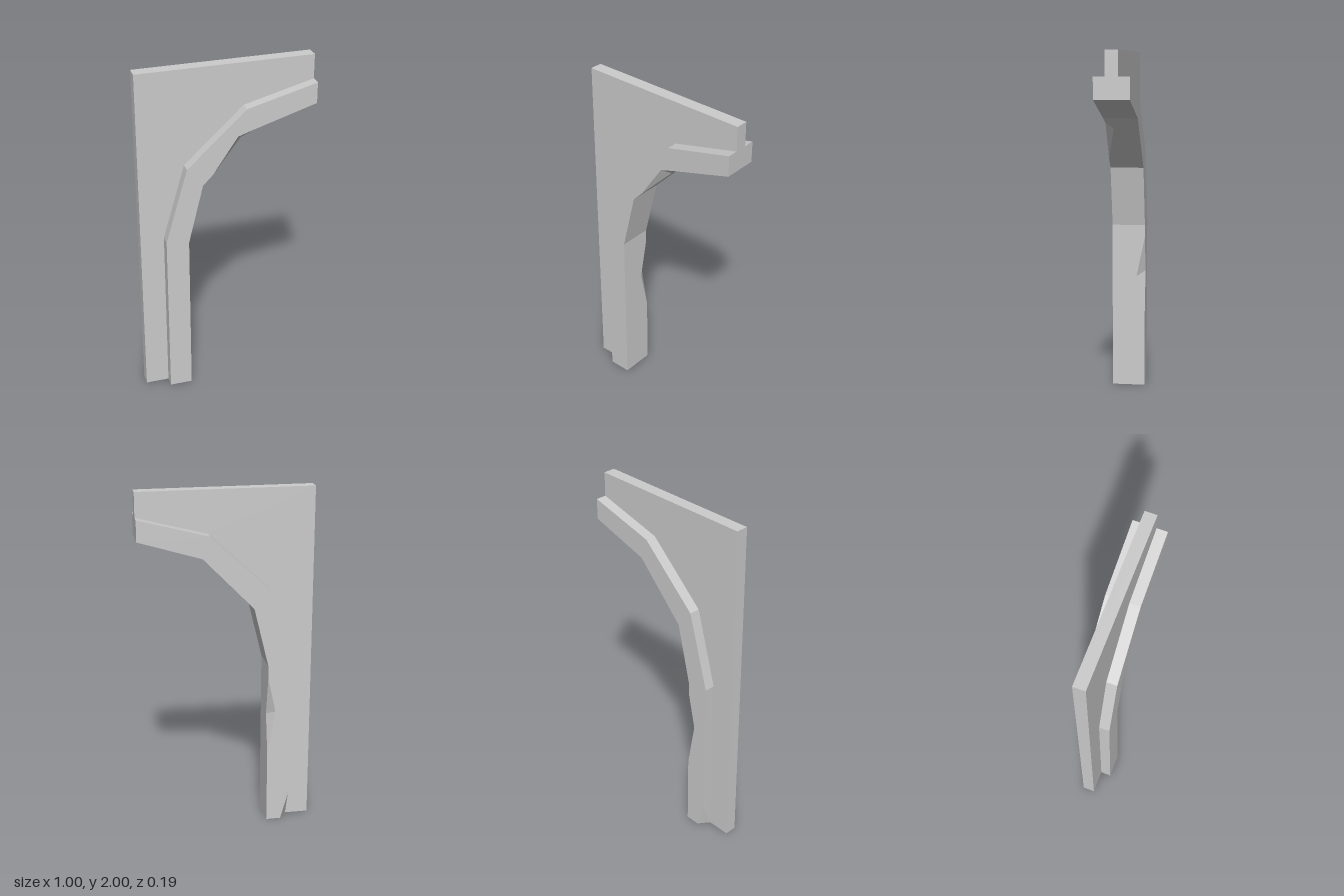
import * as THREE from 'three';

const material = new THREE.MeshStandardMaterial({ color: 0xcccccc, flatShading: true });
const H = 0.097; // half depth of the arch rib
const P = 0.035; // half depth of the web panel

// Arch curve from the foot upwards: outer and inner edge of the rib
const OUTER = [[-0.365, 0], [-0.365, 1], [-0.24, 1.44], [0.1, 1.755], [0.5, 1.86]];
const INNER = [[-0.235, 0], [-0.235, 0.98], [-0.15, 1.33], [0.14, 1.63], [0.5, 1.74]];

// Triangulates a flat polygon so that it faces the direction "out"
function face(target, points, out) {
  let pts = points.map((p) => new THREE.Vector3(...p));
  const normal = new THREE.Vector3();
  pts.forEach((p, i) => normal.add(p.clone().cross(pts[(i + 1) % pts.length])));
  if (normal.dot(new THREE.Vector3(...out)) < 0) {
    pts.reverse();
    normal.negate();
  }
  normal.normalize();
  const u = pts[1].clone().sub(pts[0]).normalize();
  const v = normal.clone().cross(u);
  const flat = pts.map((p) => new THREE.Vector2(p.dot(u), p.dot(v)));
  for (const [a, b, c] of THREE.ShapeUtils.triangulateShape(flat, [])) {
    const turn = flat[b].clone().sub(flat[a]).cross(flat[c].clone().sub(flat[a]));
    for (const i of turn < 0 ? [a, c, b] : [a, b, c]) target.push(pts[i].x, pts[i].y, pts[i].z);
  }
}

function buildRib() {
  const tris = [];
  const at = (list, z) => list.map(([x, y]) => [x, y, z]);
  const of = at(OUTER, H), ob = at(OUTER, -H);
  const inf = at(INNER, H), inb = at(INNER, -H);

  // Chip on the front edge of the diagonal
  const frontLow = [-0.092, 1.39, H], frontTip = [0.05, 1.6, H], underTip = [0.082, 1.57, 0.045];
  // Chip on the back edge of the post
  const backLow = [-0.235, 0.43, -H], backHigh = [-0.235, 0.91, -H];
  const backTip = [-0.28, 0.7, -H], sideTip = [-0.235, 0.67, -0.047];
  // Chip at the foot, on the back outer corner
  const footTop = [-0.365, 0.16, -H], footBack = [-0.32, 0, -H], footSide = [-0.365, 0, -P];

  // Front and back faces
  face(tris, [...inf.slice(0, 3), frontLow, frontTip, ...inf.slice(3), ...of.slice().reverse()], [0, 0, 1]);
  face(tris, [inb[0], backLow, backTip, backHigh, ...inb.slice(1),
    ...ob.slice(1).reverse(), footTop, footBack], [0, 0, -1]);

  // Inner and outer faces along the curve
  for (let i = 0; i < 4; i++) {
    const inner = [inf[i], inb[i]];
    if (i === 0) inner.push(backLow, sideTip, backHigh);
    inner.push(inb[i + 1], inf[i + 1]);
    if (i === 2) inner.push(underTip, frontLow);
    face(tris, inner, [1, -0.5, 0]);
    const outer = i === 0 ? [of[0], footSide, footTop] : [of[i], ob[i]];
    face(tris, [...outer, ob[i + 1], of[i + 1]], [-1, 0.5, 0]);
  }

  // Foot and upper end
  face(tris, [inf[0], inb[0], footBack, footSide, of[0]], [0, -1, 0]);
  face(tris, [inf[4], inb[4], ob[4], of[4]], [1, 0, 0]);

  // Chip facets
  face(tris, [frontLow, frontTip, underTip], [1, -1, 1]);
  face(tris, [frontTip, inf[3], underTip], [0, -1, 1]);
  face(tris, [backLow, backTip, sideTip], [1, 0, -1]);
  face(tris, [backHigh, backTip, sideTip], [1, 0, -1]);
  face(tris, [footTop, footBack, footSide], [-1, 0, -1]);

  const geometry = new THREE.BufferGeometry();
  geometry.setAttribute('position', new THREE.Float32BufferAttribute(tris, 3));
  geometry.computeVertexNormals();
  return geometry;
}

// Thin web filling the corner behind the curve
function buildPanel() {
  const outline = [[-0.5, 2], [-0.5, 0], ...OUTER, [0.5, 2]];
  const shape = new THREE.Shape(outline.map(([x, y]) => new THREE.Vector2(x, y)));
  return new THREE.ExtrudeGeometry(shape, { depth: 2 * P, bevelEnabled: false }).translate(0, 0, -P);
}

export function createModel() {
  const model = new THREE.Group();
  model.name = 'halfArch';
  for (const [name, geometry] of [['webPanel', buildPanel()], ['archRib', buildRib()]]) {
    const mesh = new THREE.Mesh(geometry, material);
    mesh.name = name;
    model.add(mesh);
  }
  return model;
}
